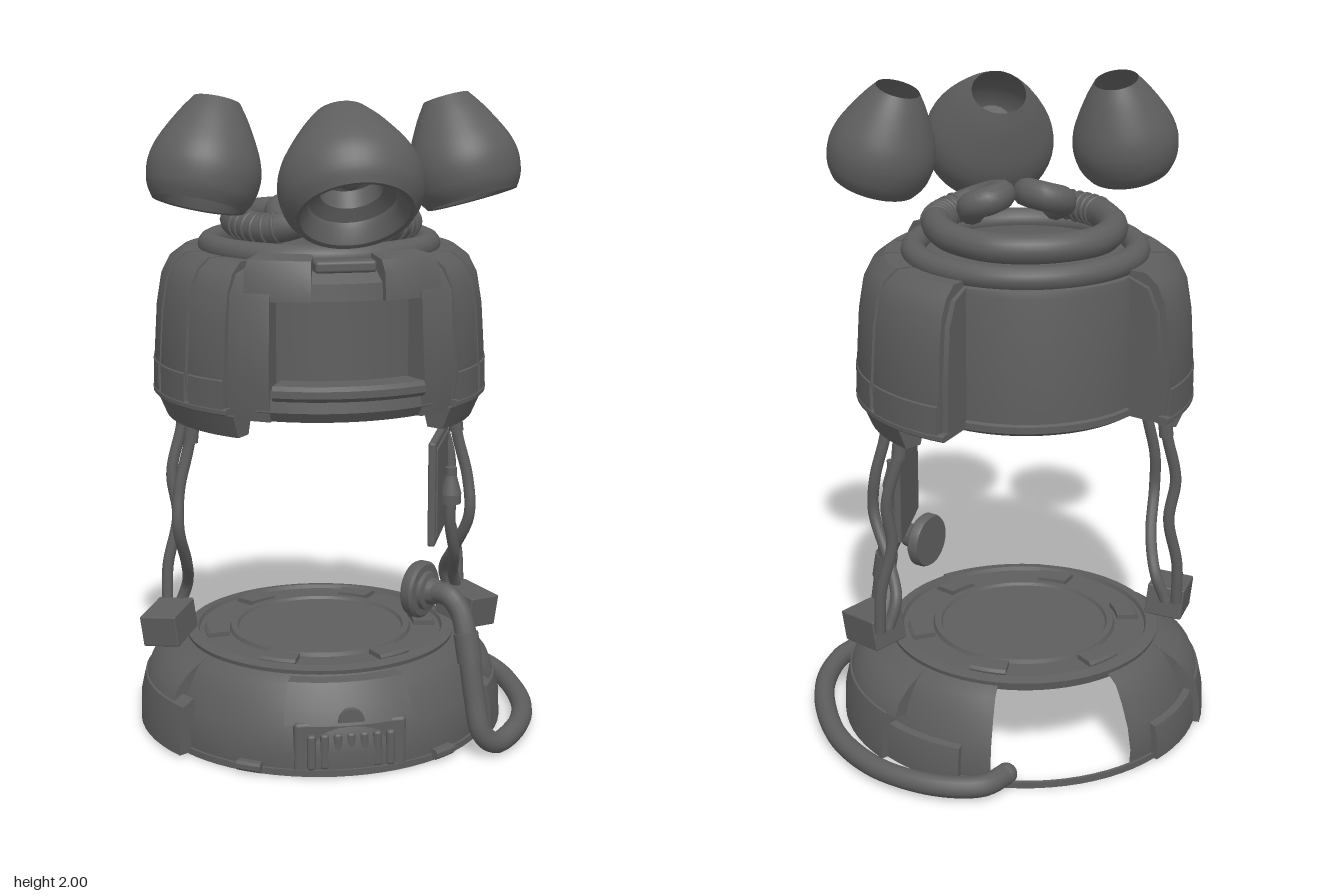
import * as THREE from 'three';
import { mergeGeometries, toCreasedNormals } from 'three/addons/utils/BufferGeometryUtils.js';
import { RoundedBoxGeometry } from 'three/addons/geometries/RoundedBoxGeometry.js';

const mat = new THREE.MeshStandardMaterial({ color: 0x5e5e5e, side: THREE.DoubleSide });
const rad = THREE.MathUtils.degToRad;
const v2 = (pts) => pts.map(([r, y]) => new THREE.Vector2(r, y));
const v3 = (pts) => pts.map((p) => new THREE.Vector3(...p));

function add(parent, name, geo, pos = [0, 0, 0], rot = [0, 0, 0]) {
  const m = new THREE.Mesh(geo, mat);
  m.name = name;
  m.position.set(...pos);
  m.rotation.set(...rot);
  parent.add(m);
  return m;
}

// Turned surface, angles in degrees measured from the front towards +x
function turned(pts, a0 = 0, a1 = 360, seg = 72) {
  return toCreasedNormals(new THREE.LatheGeometry(v2(pts), seg, rad(a0), rad(a1 - a0)), 0.6);
}

// Solid curved slab: a closed (radius, height) section swept between two angles and capped
function wedge(section, a0, a1) {
  const seg = Math.max(2, Math.ceil((a1 - a0) / 5));
  const parts = [new THREE.LatheGeometry(v2([...section, section[0]]), seg, rad(a0), rad(a1 - a0))];
  for (const a of [a0, a1]) {
    parts.push(new THREE.ShapeGeometry(new THREE.Shape(v2(section))).rotateY(rad(a) - Math.PI / 2));
  }
  return toCreasedNormals(mergeGeometries(parts), 0.6);
}
const slab = (r0, r1, y0, y1, c = 0.008) =>
  [[r0, y0], [r1 - c, y0], [r1, y0 + c], [r1, y1 - c], [r1 - c, y1], [r0, y1]];

function tube(pts, r, seg = 60) {
  return new THREE.TubeGeometry(new THREE.CatmullRomCurve3(v3(pts)), seg, r, 12);
}

// Mirrored pair of wedges
function wedgePair(parent, name, section, a0, a1) {
  add(parent, name + 'Left', wedge(section, a0, a1));
  add(parent, name + 'Right', wedge(section, -a1, -a0));
}

function buildBase(g) {
  // Shell with an open back, and its thin foot ring
  add(g, 'baseShell', turned([[0.53, 0.02], [0.535, 0.08], [0.52, 0.15], [0.49, 0.22], [0.46, 0.27], [0.41, 0.3]], -156, 156));
  add(g, 'footRing', turned([[0.53, 0.015], [0.54, 0.015], [0.54, 0.035], [0.53, 0.035], [0.53, 0.015]]));
  add(g, 'baseDisc', turned([[0, 0.28], [0.42, 0.28], [0.425, 0.305], [0.39, 0.312], [0.385, 0.3], [0.29, 0.3],
    [0.285, 0.312], [0.265, 0.312], [0.26, 0.303], [0, 0.303]]));
  for (let i = 0; i < 6; i++) {
    add(g, 'discClip', wedge(slab(0.30, 0.37, 0.295, 0.315), i * 60 + 20, i * 60 + 38));
  }
  // Side armour, stepping down towards the back
  wedgePair(g, 'baseArmour', [[0.5, 0.02], [0.577, 0.02], [0.575, 0.1], [0.56, 0.17], [0.52, 0.19]], 58, 118);
  wedgePair(g, 'rearArmour', [[0.5, 0.02], [0.557, 0.02], [0.557, 0.08], [0.545, 0.13], [0.5, 0.14]], 118, 146);
  wedgePair(g, 'upperArmour', [[0.49, 0.16], [0.555, 0.17], [0.54, 0.21], [0.5, 0.25], [0.43, 0.29]], 64, 122);
  wedgePair(g, 'frontTab', slab(0.5, 0.56, 0.02, 0.05), 29, 37);
  // Front hatch and grille
  add(g, 'frontHatch', wedge([[0.47, 0.17], [0.53, 0.17], [0.51, 0.22], [0.47, 0.285], [0.42, 0.29]], -22, 22));
  add(g, 'grilleHousing', new RoundedBoxGeometry(0.34, 0.16, 0.1, 2, 0.012), [0, 0.1, 0.465]);
  for (let i = -3; i <= 3; i++) {
    add(g, 'grilleSlat', new RoundedBoxGeometry(0.026, 0.11, 0.03, 2, 0.009), [i * 0.04, 0.09, 0.515]);
  }
  add(g, 'grilleLatch', new THREE.CylinderGeometry(0.04, 0.04, 0.02, 20, 1, false, Math.PI / 2, Math.PI),
    [0, 0.18, 0.52], [Math.PI / 2, 0, 0]);
}

function buildBody(g) {
  add(g, 'drum', turned([[0, 1.09], [0.2, 1.09], [0.205, 1.075], [0.24, 1.075], [0.245, 1.09], [0.3, 1.09], [0.305, 1.075],
    [0.36, 1.075], [0.385, 1.09], [0.385, 1.11], [0.375, 1.115], [0.375, 1.49], [0.37, 1.51], [0.33, 1.53], [0, 1.53]]));
  // Side armour: wide backing, raised panels, flange and skirt
  const backing = [[0.37, 1.1], [0.485, 1.1], [0.485, 1.25], [0.47, 1.42], [0.435, 1.49], [0.36, 1.515]];
  const raised = [[0.42, 1.11], [0.495, 1.11], [0.51, 1.2], [0.5, 1.36], [0.485, 1.45], [0.46, 1.5], [0.42, 1.53], [0.355, 1.53]];
  wedgePair(g, 'sideBacking', backing, 38, 140);
  for (const [a0, a1] of [[43, 59.5], [61, 79.5], [81.5, 104.5], [106.5, 138]]) {
    wedgePair(g, 'sidePanel', raised, a0, a1);
    wedgePair(g, 'panelFoot', slab(0.46, 0.513, 1.1, 1.2), a0 + 0.5, a1 - 0.5);
  }
  wedgePair(g, 'sideFlange', slab(0.37, 0.515, 1.09, 1.11, 0.004), 42, 140);
  wedgePair(g, 'sideSkirt', [[0.42, 1.02], [0.475, 1.02], [0.505, 1.09], [0.4, 1.09]], 40, 120);

  // Front window frame
  add(g, 'windowBack', wedge(slab(0.37, 0.43, 1.12, 1.46), -32, 32));
  add(g, 'windowTopBar', wedge([[0.37, 1.43], [0.465, 1.43], [0.46, 1.48], [0.42, 1.51], [0.37, 1.51]], -32, 32));
  wedgePair(g, 'windowPost', [[0.37, 1.08], [0.49, 1.08], [0.505, 1.2], [0.49, 1.44], [0.455, 1.5], [0.37, 1.52]], 27, 42);
  wedgePair(g, 'windowBrow', [[0.37, 1.43], [0.485, 1.43], [0.478, 1.51], [0.455, 1.545], [0.38, 1.555]], 13, 37);
  add(g, 'windowSill', wedge([[0.37, 1.08], [0.475, 1.08], [0.495, 1.11], [0.485, 1.17], [0.37, 1.18]], -32, 32));
  add(g, 'sillLedge', wedge(slab(0.44, 0.535, 1.15, 1.195, 0.012), -25, 25));
  add(g, 'browLatch', new RoundedBoxGeometry(0.18, 0.035, 0.06, 2, 0.01), [0, 1.525, 0.41]);
}

function buildCoils(g) {
  add(g, 'lowerCoil', new THREE.TorusGeometry(0.335, 0.037, 14, 72), [0, 1.54, 0], [Math.PI / 2, 0, 0]);
  // Upper coil: a loop whose two ends curl inwards at the front
  const half = [[0.15, 1.61, -0.235], [0.235, 1.61, -0.12], [0.26, 1.61, 0], [0.245, 1.61, 0.12], [0.19, 1.61, 0.21],
    [0.11, 1.63, 0.245], [0.05, 1.66, 0.19], [0.046, 1.675, 0.12], [0.09, 1.67, 0.075], [0.14, 1.65, 0.1], [0.13, 1.62, 0.16]];
  const path = [...half.map(([x, y, z]) => [-x, y, z]).reverse(), [0, 1.61, -0.278], ...half];
  add(g, 'upperCoil', tube(path, 0.044, 160));
  const curve = new THREE.CatmullRomCurve3(v3(path));
  for (let i = 0; i < 6; i++) {
    for (const u of [0.74 + i * 0.014, 0.26 - i * 0.014]) {
      const rib = add(g, 'coilRib', new THREE.TorusGeometry(0.043, 0.006, 8, 20));
      rib.position.copy(curve.getPointAt(u));
      rib.quaternion.setFromUnitVectors(new THREE.Vector3(0, 0, 1), curve.getTangentAt(u));
    }
  }
}

// Egg-shaped lamp shade, open at both ends, with a reflector inside
function lampHead(g, name, rScale, yScale, pos, up) {
  const head = new THREE.Group();
  head.name = name;
  const outline = v2([[0.168, 0], [0.195, 0.04], [0.207, 0.1], [0.197, 0.155], [0.17, 0.21], [0.125, 0.28], [0.085, 0.33]]);
  add(head, 'shade', new THREE.LatheGeometry(new THREE.SplineCurve(outline).getPoints(24), 48));
  add(head, 'reflector', turned([[0.168, 0], [0.155, 0.003], [0.13, 0.04], [0.125, 0.06], [0.09, 0.085], [0.085, 0.14],
    [0.06, 0.15], [0.055, 0.2], [0, 0.2]], 0, 360, 40));
  add(head, 'bulb', new THREE.SphereGeometry(0.045, 20, 12), [0, 0.14, 0]);
  head.scale.set(rScale, yScale, rScale);
  head.position.set(...pos);
  head.quaternion.setFromUnitVectors(new THREE.Vector3(0, 1, 0), new THREE.Vector3(...up).normalize());
  g.add(head);
}

function buildCables(g) {
  for (const s of [1, -1]) {
    const m = (pts) => pts.map(([x, y, z]) => [s * x, y, z]);
    add(g, 'frontCable', tube(m([[0.41, 1.08, 0.1], [0.42, 0.95, 0.09], [0.455, 0.8, 0.1], [0.46, 0.68, 0.11],
      [0.43, 0.55, 0.04], [0.42, 0.45, -0.05], [0.45, 0.36, -0.07]]), 0.018));
    add(g, 'rearCable', tube(m([[0.4, 1.08, -0.13], [0.42, 0.95, -0.13], [0.455, 0.8, -0.12], [0.44, 0.66, -0.11],
      [0.475, 0.5, -0.1], [0.48, 0.36, -0.09]]), 0.018));
    for (const z of [0.1, -0.13]) {
      add(g, 'cableSleeve', new THREE.CylinderGeometry(0.022, 0.022, 0.14, 14), [s * 0.41, 1.02, z], [0, 0, s * 0.1]);
    }
    add(g, 'cableBox', new RoundedBoxGeometry(0.12, 0.1, 0.16, 2, 0.005), [s * 0.485, 0.345, 0], [0.12, s * 0.5, s * -0.15]);
  }
  // Wall plate with a plug on the left side
  const plate = new THREE.Group();
  plate.name = 'socketPlate';
  plate.position.set(0.355, 0.785, 0.115);
  plate.rotation.y = -0.37;
  add(plate, 'plate', new RoundedBoxGeometry(0.024, 0.33, 0.29, 2, 0.008));
  add(plate, 'plateFace', new RoundedBoxGeometry(0.024, 0.29, 0.25, 2, 0.006), [0.005, 0, 0]);
  add(plate, 'plugBody', new THREE.CylinderGeometry(0.018, 0.034, 0.06, 16), [0.042, 0.0, 0.0]);
  add(plate, 'plugCollar', new THREE.CylinderGeometry(0.032, 0.032, 0.03, 16), [0.042, -0.045, 0.0]);
  add(plate, 'plugCap', new THREE.CylinderGeometry(0.018, 0.018, 0.03, 16), [0.042, 0.04, 0.0]);
  g.add(plate);
  add(g, 'plugCable', tube([[0.395, 0.74, 0.13], [0.395, 0.66, 0.12], [0.42, 0.55, 0.08], [0.44, 0.45, -0.01], [0.47, 0.37, -0.06]], 0.018));
}

function buildHose(g) {
  add(g, 'hose', tube([[0.285, 0.495, 0.295], [0.335, 0.495, 0.355], [0.365, 0.45, 0.385], [0.38, 0.35, 0.42], [0.395, 0.2, 0.45],
    [0.415, 0.09, 0.47], [0.46, 0.05, 0.455], [0.55, 0.05, 0.36], [0.62, 0.05, 0.2], [0.643, 0.05, 0], [0.62, 0.05, -0.2],
    [0.53, 0.05, -0.385], [0.38, 0.05, -0.51], [0.25, 0.05, -0.54], [0.17, 0.05, -0.49]], 0.033, 150));
  add(g, 'hoseCollar', new THREE.CylinderGeometry(0.038, 0.038, 0.09, 20), [0.38, 0.35, 0.42], [-0.2, 0, 0.11]);
  add(g, 'hoseEnd', new THREE.SphereGeometry(0.034, 16, 10), [0.17, 0.05, -0.49]);
  // Stepped round end piece, turned towards the middle
  const knob = add(g, 'hoseKnob', turned([[0, -0.02], [0.083, -0.02], [0.088, -0.01], [0.088, 0.012], [0.08, 0.02], [0.06, 0.022],
    [0.058, 0.036], [0.042, 0.04], [0.036, 0.075], [0, 0.075]], 0, 360, 32), [0.265, 0.495, 0.27]);
  knob.quaternion.setFromUnitVectors(new THREE.Vector3(0, 1, 0), new THREE.Vector3(1, 0, 1).normalize());
}

export function createModel() {
  const model = new THREE.Group();
  model.name = 'lampRobot';
  const g = new THREE.Group();
  g.name = 'assembly';
  g.position.set(-0.05, 0, -0.06);
  model.add(g);

  buildBase(g);
  buildBody(g);
  buildCoils(g);
  buildCables(g);
  buildHose(g);
  lampHead(g, 'frontHead', 1, 1, [0, 1.685, 0.57], [0, 0.77, -0.64]);
  for (const s of [1, -1]) {
    lampHead(g, s > 0 ? 'leftHead' : 'rightHead', 0.8, 0.93, [s * 0.405, 1.695, 0.295], [-s * 0.22, 0.95, -0.22]);
  }
  return model;
}
